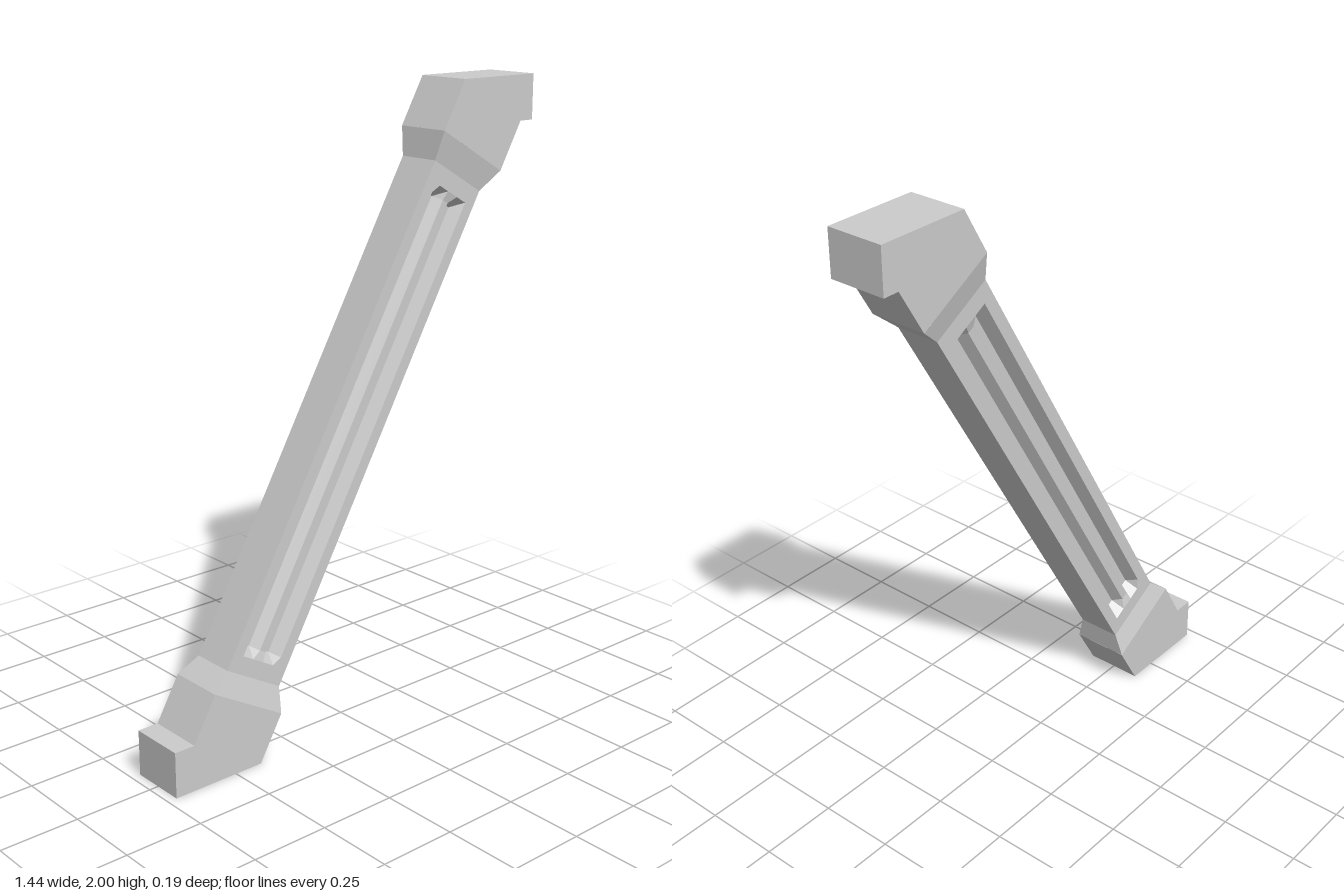
import * as THREE from 'three';

const material = new THREE.MeshStandardMaterial({ color: 0xcccccc, flatShading: true });

// Half of the grooved profile: [distance from centre line, share of groove depth]
const half = [[0.074, 0], [0.054, 1], [0.032, 1], [0.012, 0.2]];
const profile = [
  ...half.map(([x, d]) => [-x, d]),
  ...half.slice().reverse(),
];

// Closed ring across the strut; depth 0 gives a plain rectangle
function ring(y, halfWidth, halfDepth, depth) {
  const front = [
    [-halfWidth, y, halfDepth],
    ...profile.map(([x, d]) => [x, y, halfDepth - d * depth]),
    [halfWidth, y, halfDepth],
  ];
  const back = front.map(([x, , z]) => [x, y, -z]).reverse();
  return [...front, ...back];
}

// Skin between successive rings
function loft(rings) {
  const positions = [];
  for (let i = 0; i < rings.length - 1; i++) {
    const n = rings[i].length;
    for (let j = 0; j < n; j++) {
      const k = (j + 1) % n;
      const a = rings[i][j], b = rings[i][k];
      const c = rings[i + 1][k], d = rings[i + 1][j];
      positions.push(...a, ...b, ...c, ...a, ...c, ...d);
    }
  }
  const geometry = new THREE.BufferGeometry();
  geometry.setAttribute('position', new THREE.Float32BufferAttribute(positions, 3));
  geometry.computeVertexNormals();
  return geometry;
}

// Solid end block from its side outline
function endBlock(name, outline) {
  const depth = 0.186;
  const shape = new THREE.Shape(outline.map(([x, y]) => new THREE.Vector2(x, y)));
  const geometry = new THREE.ExtrudeGeometry(shape, { depth, bevelEnabled: false });
  geometry.translate(0, 0, -depth / 2);
  const mesh = new THREE.Mesh(geometry, material);
  mesh.name = name;
  return mesh;
}

export function createModel() {
  const group = new THREE.Group();
  group.name = 'diagonalBrace';

  // Slanted strut: flared collars at both ends, grooves front and back
  const groove = 0.04;
  const strut = new THREE.Mesh(loft([
    ring(-0.039, 0.1435, 0.093, 0),
    ring(0.035, 0.1125, 0.071, 0),
    ring(0.09, 0.1125, 0.071, 0),
    ring(0.12, 0.1125, 0.071, groove),
    ring(1.598, 0.1125, 0.071, groove),
    ring(1.628, 0.1125, 0.071, 0),
    ring(1.685, 0.1125, 0.071, 0),
    ring(1.771, 0.1435, 0.093, 0),
  ]), material);
  strut.name = 'groovedStrut';
  strut.position.set(-0.428, 0.247, 0);
  strut.rotation.z = -Math.PI / 6;
  group.add(strut);

  // Foot and head blocks with a squared toe
  group.add(endBlock('footBlock', [
    [-0.72, 0], [-0.405, 0], [-0.323, 0.141], [-0.571, 0.285], [-0.651, 0.147], [-0.72, 0.147],
  ]));
  group.add(endBlock('headBlock', [
    [0.72, 2], [0.418, 2], [0.333, 1.852], [0.582, 1.709], [0.667, 1.857], [0.72, 1.857],
  ]));

  return group;
}
